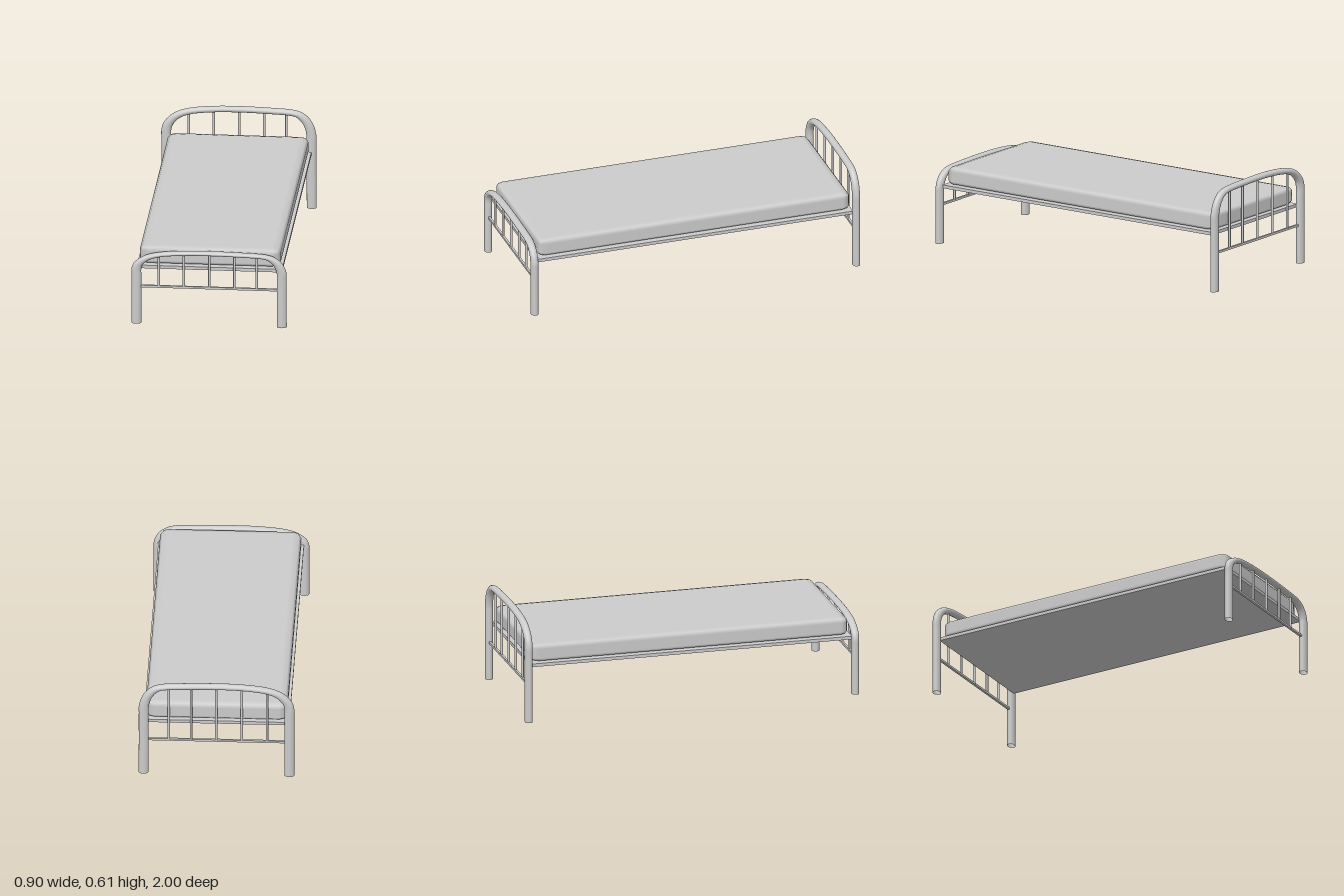
import * as THREE from 'three';
import { RoundedBoxGeometry } from 'three/addons/geometries/RoundedBoxGeometry.js';

const grey = new THREE.MeshStandardMaterial({ color: 0xcccccc });
const greyOpen = new THREE.MeshStandardMaterial({ color: 0xcccccc, side: THREE.DoubleSide });

function add(parent, name, geometry, x, y, z, material = grey) {
  const mesh = new THREE.Mesh(geometry, material);
  mesh.name = name;
  mesh.position.set(x, y, z);
  parent.add(mesh);
  return mesh;
}

// Centre line of the bent tube, from the right foot over the top to the left foot
const ARCH = [
  [-0.421, 0], [-0.421, 0.2], [-0.421, 0.4], [-0.421, 0.45], [-0.41, 0.49], [-0.38, 0.527],
  [-0.343, 0.552], [-0.28, 0.572], [-0.15, 0.587], [0, 0.591], [0.2, 0.586], [0.3, 0.58],
  [0.343, 0.57], [0.375, 0.546], [0.4, 0.511], [0.418, 0.45], [0.419, 0.4], [0.419, 0.2], [0.42, 0],
];
// Spindles: x and the height where they meet the arch
const SPINDLES = [[-0.292, 0.568], [-0.147, 0.587], [0.001, 0.591], [0.146, 0.588], [0.274, 0.582]];
const RAIL_Y = 0.226;

// One bed end; heightScale squashes the arch together with its tube section
function bedEnd(name, z, heightScale) {
  const end = new THREE.Group();
  end.name = name;
  end.position.z = z;

  // Tube of radius 1, scaled to an oval section
  const [rx, ry, rz] = [0.0285, 0.0178, 0.0225];
  const path = new THREE.CatmullRomCurve3(
    ARCH.map(([x, y]) => new THREE.Vector3(x / rx, y / ry, 0)), false, 'centripetal');
  const tube = new THREE.TubeGeometry(path, 90, 1, 16);
  tube.scale(rx, ry * heightScale, rz);
  add(end, 'archTube', tube, 0, 0, 0, greyOpen);

  add(end, 'lowerRail', new THREE.BoxGeometry(0.82, 0.013, 0.013), 0, RAIL_Y, 0);

  for (const [x, top] of SPINDLES) {
    const height = top * heightScale - RAIL_Y;
    add(end, 'spindle', new THREE.CylinderGeometry(0.0075, 0.0075, height, 10), x, RAIL_Y + height / 2, 0);
  }
  return end;
}

export function createModel() {
  const bed = new THREE.Group();
  bed.name = 'bed';

  bed.add(bedEnd('headboard', -0.9775, 1));
  bed.add(bedEnd('footboard', 0.9775, 0.739));

  // Flat base between the two ends
  add(bed, 'bedBase', new THREE.BoxGeometry(0.84, 0.019, 1.92), 0, 0.3375, 0);

  // Mattress with soft edges, flatter vertically than horizontally
  const mattress = new RoundedBoxGeometry(0.814, 0.196, 1.9, 1, 0.047);
  mattress.scale(1, 0.55, 1);
  add(bed, 'mattress', mattress, 0, 0.4, -0.003);

  return bed;
}
